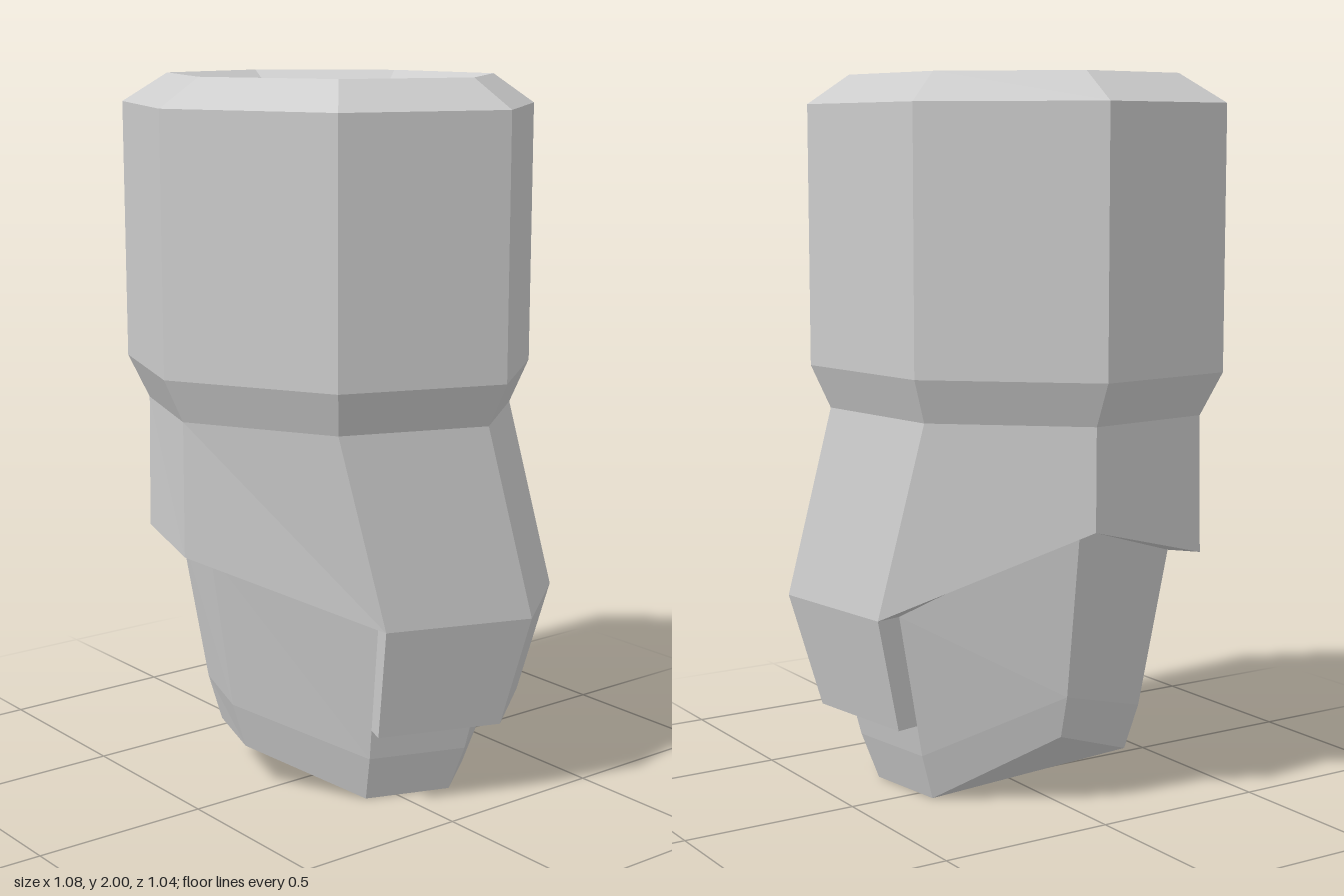
import * as THREE from 'three';

const SIDES = 7;
// Seven-sided outlines as [x, z], counter-clockwise seen from above
const STRAIGHT = [[-0.54, -0.03], [-0.495, 0.385], [-0.10, 0.52], [0.345, 0.275],
  [0.51, -0.165], [0.27, -0.47], [-0.20, -0.41]];
const BENT = [[-0.49, -0.03], [-0.45, 0.35], [-0.09, 0.47], [0.39, 0.147],
  [0.535, -0.25], [0.32, -0.525], [-0.10, -0.47]];

// Heights and scales given as one number or one per corner
const at = (v, i) => (Array.isArray(v) ? v[i] : v);
const ring = (outline, scale, y) =>
  outline.map(([x, z], i) => [x * at(scale, i), at(y, i), z * at(scale, i)]);

// Faceted mesh from convex polygons
function facets(name, polygons) {
  const pos = [];
  for (const p of polygons)
    for (let i = 1; i < p.length - 1; i++) pos.push(...p[0], ...p[i], ...p[i + 1]);
  const geometry = new THREE.BufferGeometry();
  geometry.setAttribute('position', new THREE.Float32BufferAttribute(pos, 3));
  geometry.computeVertexNormals();
  const mesh = new THREE.Mesh(geometry,
    new THREE.MeshStandardMaterial({ color: 0xcccccc, flatShading: true }));
  mesh.name = name;
  return mesh;
}

// Quads joining successive closed rings
function loft(rings) {
  const quads = [];
  for (let r = 0; r < rings.length - 1; r++) {
    const a = rings[r], b = rings[r + 1], n = a.length;
    for (let i = 0; i < n; i++) {
      const j = (i + 1) % n;
      quads.push([a[i], b[i], b[j], a[j]]);
    }
  }
  return quads;
}

export function createModel() {
  const group = new THREE.Group();
  const hemY = [0.8, 0.7, 0.7, 0.54, 0.54, 0.54, 0.54];
  const neck = ring(STRAIGHT, 0.9, 1.08);
  const hem = ring(BENT, 1, hemY);
  const boneTop = ring(BENT, 0.84, hemY);

  // Upper segment with bevelled rim and shallow recess
  const floor = ring(STRAIGHT, 0.685, 1.96);
  group.add(facets('upperSegment', [floor, ...loft([
    floor, ring(STRAIGHT, 0.787, 2), ring(STRAIGHT, 1, 1.92), ring(STRAIGHT, 1, 1.2), neck,
  ])]));

  // Bent sleeve with slanted hem, closed in to the lower segment
  group.add(facets('middleSleeve', loft([neck, hem, boneTop])));

  // Flap hanging from the back corners of the sleeve
  const flapOuter = ring(BENT, 0.85, 0.22);
  const flapInner = ring(BENT, 0.68, 0.22);
  const sections = [];
  for (let i = 3; i < SIDES; i++)
    sections.push([hem[i], boneTop[i], flapInner[i], flapOuter[i]]);
  group.add(facets('backFlap',
    [sections[0], ...loft(sections), [...sections[3]].reverse()]));

  // Tapered lower segment with a folded underside
  const bend = ring(BENT, [0.71, 0.70, 0.71, 0.67, 0.67, 0.67, 0.67],
    [0.32, 0.25, 0.25, 0.13, 0.13, 0.13, 0.13]);
  const tip = ring(BENT, [0.645, 0.63, 0.63, 0.59, 0.59, 0.59, 0.59],
    [0.2, 0.12, 0.12, 0, 0, 0, 0]);
  const underside = [[4, 3, 2], [5, 4, 2, 1], [6, 5, 1, 0]].map(f => f.map(i => tip[i]));
  group.add(facets('lowerSegment', [...loft([boneTop, bend, tip]), ...underside]));

  return group;
}
